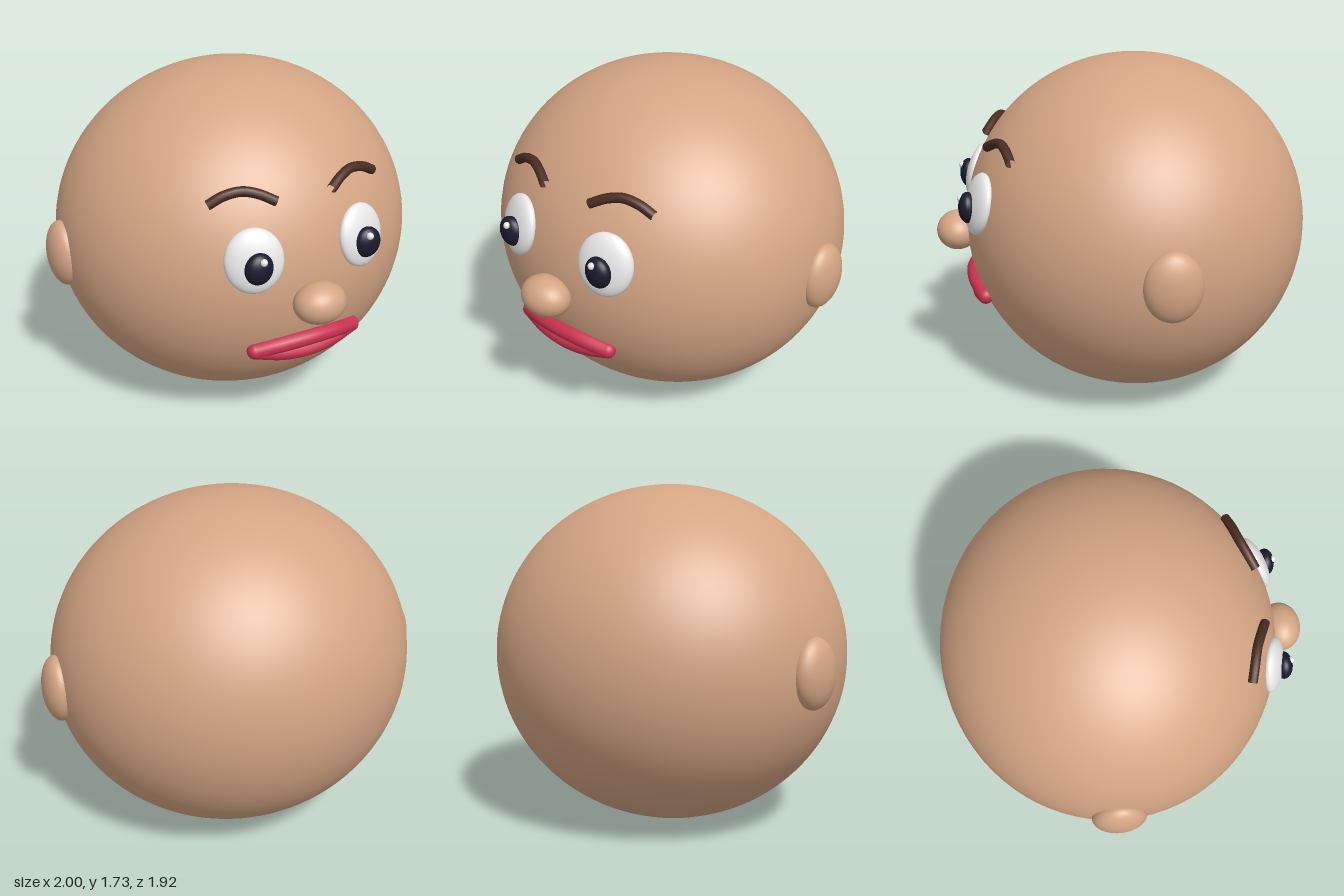
import * as THREE from 'three';

const material = (name, color, side = THREE.FrontSide) => {
  const m = new THREE.MeshStandardMaterial({ color, side });
  m.name = name;
  return m;
};

export function createModel() {
  const skin = material('skin', 0xd4a584);
  const white = material('eye white', 0xf0f0f0);
  const dark = material('pupil dark', 0x1a1a2e);
  const brown = material('brow brown', 0x4a2c20, THREE.DoubleSide);
  const red = material('lip red', 0xc8324f);

  const model = new THREE.Group();
  model.name = 'head';

  const ellipsoid = (name, mat, pos, radii, segments = 40) => {
    const mesh = new THREE.Mesh(new THREE.SphereGeometry(1, segments, Math.round(segments * 0.7)), mat);
    mesh.name = name;
    mesh.position.set(...pos);
    mesh.scale.set(...radii);
    model.add(mesh);
    return mesh;
  };

  const tube = (name, mat, points, radius) => {
    const curve = new THREE.CatmullRomCurve3(points.map((p) => new THREE.Vector3(...p)));
    const mesh = new THREE.Mesh(new THREE.TubeGeometry(curve, 32, radius, 14), mat);
    mesh.name = name;
    model.add(mesh);
  };

  // Skull and nose
  const centre = [0, 0.865, -0.08];
  const size = [0.93, 0.865, 0.88];
  ellipsoid('skull', skin, centre, size, 80);
  ellipsoid('nose', skin, [0, 0.835, 0.85], [0.132, 0.1, 0.108]);

  for (const [side, s] of [['left', 1], ['right', -1]]) {
    ellipsoid(side + 'Ear', skin, [s * 0.92, 0.853, -0.123], [0.08, 0.172, 0.14]);

    // Eyeball lies flat against the skull, facing along its surface normal
    const p = [s * 0.285, 1.068, 0.73];
    const normal = p.map((v, i) => (v - centre[i]) / size[i] ** 2);
    const eye = ellipsoid(side + 'Eye', white, p, [0.14, 0.155, 0.053]);
    eye.lookAt(...p.map((v, i) => v + normal[i]));
    ellipsoid(side + 'Pupil', dark, [s * 0.288, 1.053, 0.785], [0.07, 0.078, 0.047], 28);
    ellipsoid(side + 'Glint', white, [s * 0.281, 1.1, 0.818], [0.018, 0.018, 0.018], 16);

    // Arched eyebrow
    tube(side + 'Eyebrow', brown, [
      [s * 0.44, 1.312, 0.572], [s * 0.37, 1.35, 0.59], [s * 0.29, 1.366, 0.612],
      [s * 0.22, 1.352, 0.642], [s * 0.145, 1.315, 0.68],
    ], 0.024);

    // Rounded corner of the mouth
    ellipsoid(side + 'MouthCorner', red, [s * 0.27, 0.567, 0.72], [0.04, 0.04, 0.04], 20);
  }

  // Lips meet at the mouth corners and bow forwards in the middle
  const lip = (name, y, z) => tube(name, red, [-1, -0.5, 0, 0.5, 1].map((t) =>
    [t * 0.27, y + (0.567 - y) * t * t, z + (0.72 - z) * t * t]), 0.04);
  lip('upperLip', 0.602, 0.775);
  lip('lowerLip', 0.525, 0.752);

  return model;
}
